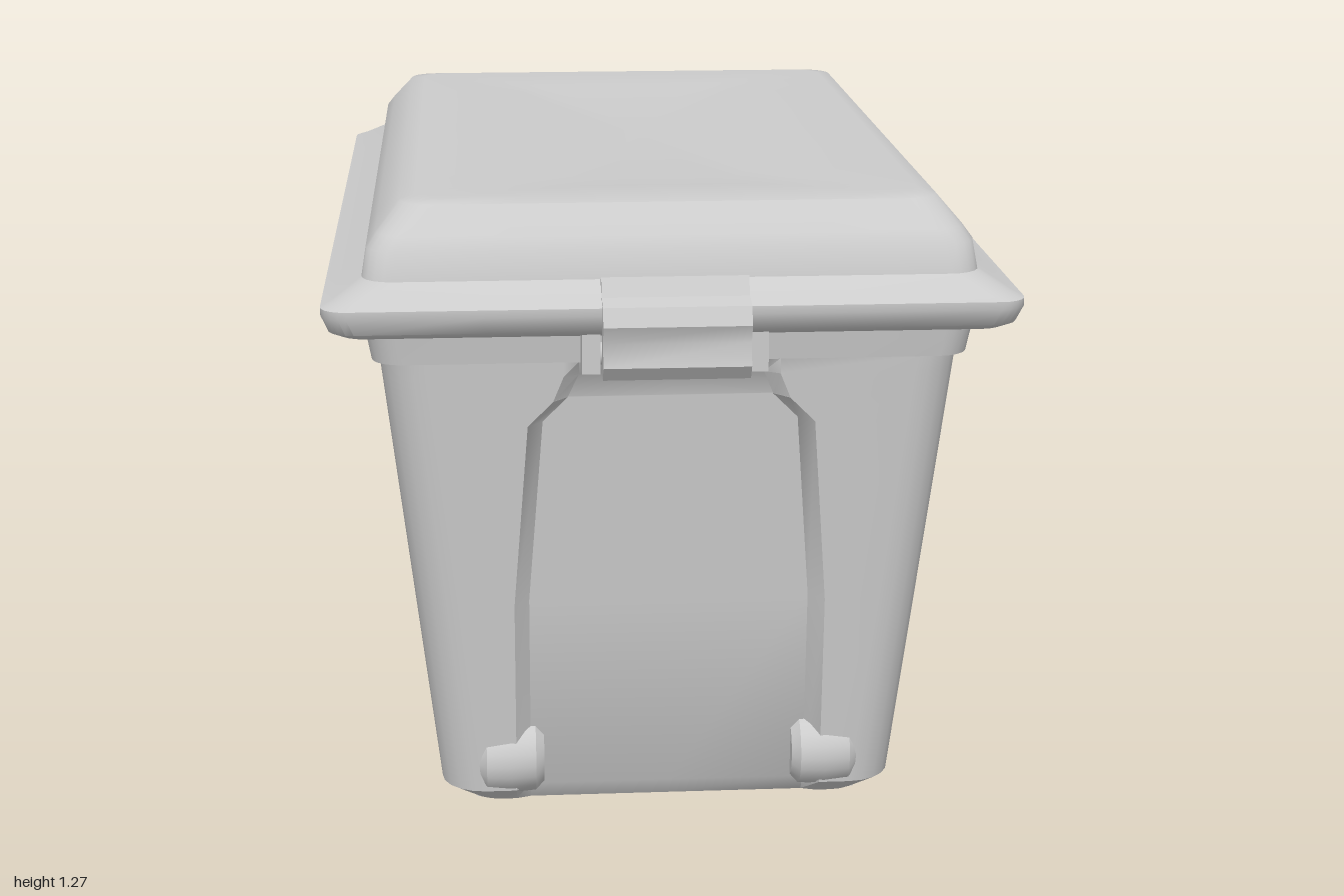
import * as THREE from 'three';
import { toCreasedNormals } from 'three/addons/utils/BufferGeometryUtils.js';

const grey = new THREE.MeshStandardMaterial({ color: 0xcccccc });

// Joins rings of points (listed bottom to top, counterclockwise from above)
function loft(rings, crease = 0.6) {
  const n = rings[0].length, pos = rings.flat(2), index = [];
  for (let i = 0; i < rings.length - 1; i++) {
    for (let j = 0; j < n; j++) {
      const a = i * n + j, b = i * n + (j + 1) % n;
      index.push(a, b, b + n, a, b + n, a + n);
    }
  }
  const g = new THREE.BufferGeometry();
  g.setAttribute('position', new THREE.Float32BufferAttribute(pos, 3));
  g.setIndex(index);
  return toCreasedNormals(g, crease);
}

// Rounded rectangle ring; end and side panels may be set back from the corner posts
function ring({ y, w, d, r = 0.08, endX = w * 0.5, endIn = 0, sideZ = d * 0.7, sideIn = 0, sideY = y }) {
  const q = [[0, y, d - endIn], [endX, y, d - endIn], [endX + Math.min(0.03, w * 0.1), y, d]];
  for (let k = 0; k <= 5; k++) {
    const a = k / 5 * Math.PI / 2;
    q.push([w - r + r * Math.sin(a), y, d - r + r * Math.cos(a)]);
  }
  q.push([w, y, sideZ + Math.min(0.02, d * 0.05)], [w - sideIn, sideY, sideZ], [w - sideIn, sideY, 0]);
  const mirror = (pts, sx, sz) => pts.map(([x, h, z]) => [x * sx, h, z * sz]);
  const back = mirror(q, 1, -1).reverse().slice(1);
  const right = [...q, ...back];
  return [...right, ...mirror(right, -1, 1).reverse().slice(1, -1)];
}

const centre = (y, n) => Array.from({ length: n }, () => [0, y, 0]);

// Extrudes a (z, y) outline along x, centred
function extrudeX(outline, width) {
  const s = new THREE.Shape(outline.map(([z, y]) => new THREE.Vector2(-z, y)));
  const g = new THREE.ExtrudeGeometry(s, { depth: width, bevelEnabled: false });
  g.translate(0, 0, -width / 2);
  g.rotateY(Math.PI / 2);
  return toCreasedNormals(g, 0.7);
}

export function createModel() {
  const root = new THREE.Group();
  const add = (name, geometry, parent = root) => {
    const m = new THREE.Mesh(geometry, grey);
    m.name = name;
    parent.add(m);
    return m;
  };

  // Tapered tub with corner posts and recessed panels
  const at = (y, extra) => ring({
    y, w: 0.46 + 0.1 * (y - 0.03) / 0.89, d: 0.8 + 0.065 * (y - 0.03) / 0.89,
    r: 0.09, endX: 0.28, endIn: 0.035, sideZ: 0.58, sideIn: 0.07, ...extra,
  });
  const tub = [
    at(0, { w: 0.41, d: 0.75, r: 0.07, sideIn: 0.03, endIn: 0.01, sideY: 0.05 }),
    at(0.04, { sideY: 0.06 }),
    at(0.45),
    at(0.83, { endX: 0.25 }),
    at(0.88, { endX: 0.2 }),
    at(0.881, { endX: 0.2, sideIn: 0 }),
    at(0.93, { endX: 0.18, endIn: 0.02, sideIn: 0 }),
    at(0.962, { endX: 0.18, endIn: 0, sideIn: 0 }),
  ];
  add('tub', loft([centre(0.07, tub[0].length), ...tub]));

  // Band under the lid
  const plain = (w, d, y, r = 0.06) => ring({ w, d, y, r });
  add('tubRim', loft([
    plain(0.5, 0.8, 0.962), plain(0.578, 0.875, 0.962), plain(0.59, 0.885, 1.03),
  ]));

  // Corrugated floor ribs running across
  const floor = [[-0.55, 0.1]];
  for (let i = 0; i <= 72; i++) {
    const z = -0.55 + 1.1 * i / 72;
    floor.push([z, 0.058 + 0.018 * Math.cos(i / 72 * Math.PI * 18)]);
  }
  floor.push([0.55, 0.1]);
  add('floorRibs', extrudeX(floor, 0.74));

  // Lid: flared rim, stepped shoulder and slightly dished top
  const lid = [
    plain(0.56, 0.86, 1.03), plain(0.635, 0.935, 1.03, 0.05),
    plain(0.655, 0.955, 1.042, 0.05), plain(0.668, 0.968, 1.075, 0.05),
    plain(0.668, 0.968, 1.09, 0.05), plain(0.645, 0.945, 1.1, 0.05),
    plain(0.592, 0.897, 1.13), plain(0.583, 0.885, 1.185),
    plain(0.565, 0.865, 1.21), plain(0.52, 0.82, 1.262),
    plain(0.49, 0.78, 1.268), plain(0.25, 0.62, 1.255),
    plain(0.18, 0.5, 1.245),
  ];
  add('lid', loft([...lid, centre(1.245, lid[0].length)], 0.7));

  // Latches at both ends
  for (const side of [1, -1]) {
    const latch = new THREE.Group();
    latch.name = side > 0 ? 'frontLatch' : 'backLatch';
    add('latchClip', extrudeX([
      [0.9, 1.09], [0.905, 1.13], [0.925, 1.14], [0.945, 1.105], [0.985, 1.095],
      [1.0, 1.06], [0.985, 1.025], [0.995, 0.98], [0.975, 0.952], [0.94, 0.955],
      [0.945, 1.03], [0.96, 1.07],
    ], 0.28), latch);
    for (const x of [-0.16, 0.16]) {
      const bracket = add('latchBracket', new THREE.BoxGeometry(0.035, 0.08, 0.07), latch);
      bracket.position.set(x, 0.995, 0.905);
    }
    const pivot = add('latchPivot', new THREE.CylinderGeometry(0.022, 0.022, 0.33, 12), latch);
    pivot.rotation.z = Math.PI / 2;
    pivot.position.set(0, 0.99, 0.915);
    latch.rotation.y = side > 0 ? 0 : Math.PI;
    root.add(latch);
  }

  // Wheels set into the front posts, with rounded tread edges
  const tread = [[0, -0.067], [0.06, -0.067], [0.078, -0.05], [0.082, 0], [0.078, 0.05], [0.06, 0.067], [0, 0.067]]
    .map(([x, y]) => new THREE.Vector2(x, y));
  for (const x of [-0.32, 0.32]) {
    const wheel = add('wheel', toCreasedNormals(new THREE.LatheGeometry(tread, 20), 0.7));
    wheel.rotation.z = Math.PI / 2;
    wheel.position.set(x, 0.1, 0.742);
  }

  // Pads under the corner posts
  for (const x of [-0.33, 0.33]) {
    for (const z of [-0.67, 0.67]) {
      add('footPad', new THREE.BoxGeometry(0.12, 0.04, 0.13)).position.set(x, 0.02, z);
    }
  }
  return root;
}
